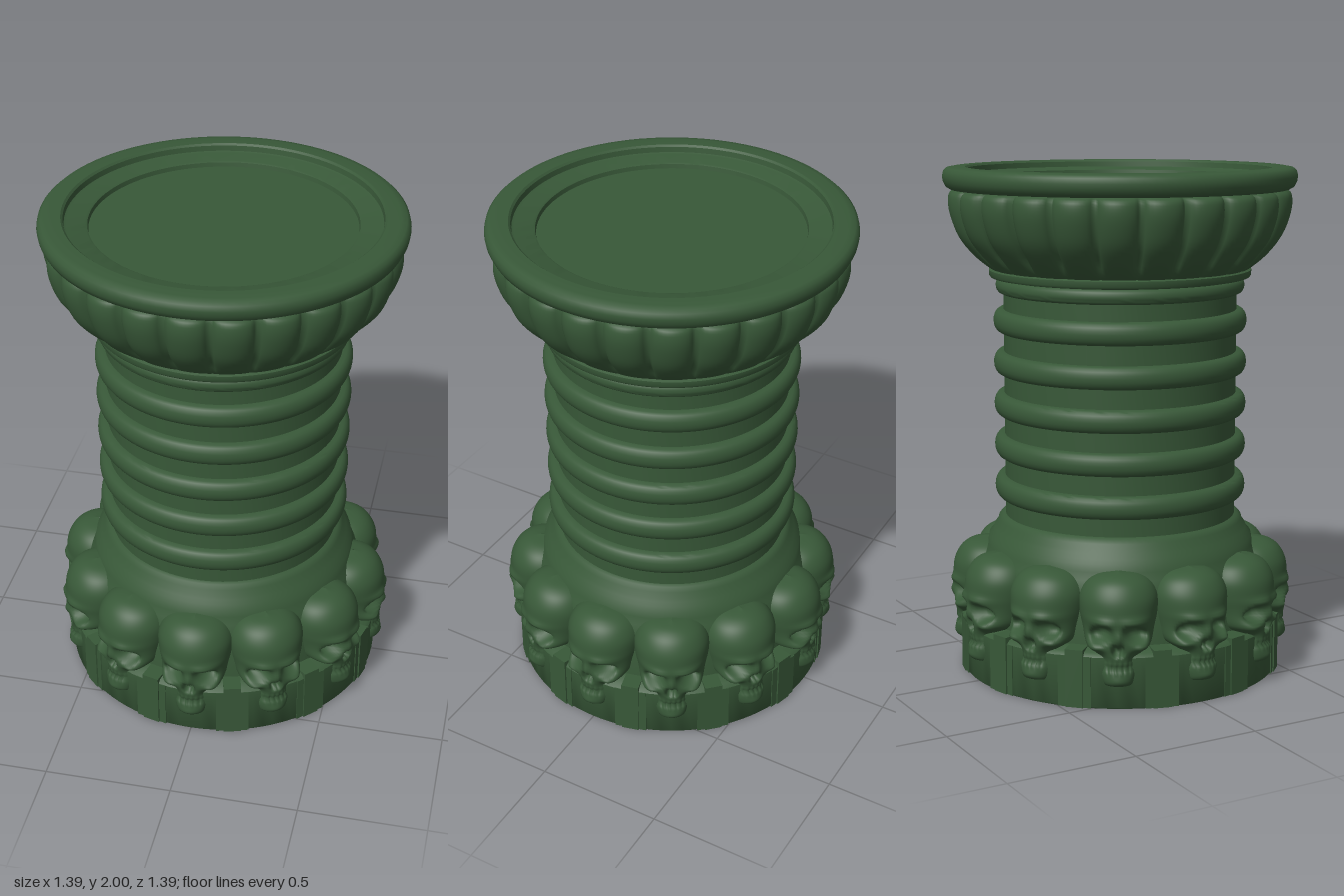
import * as THREE from 'three';
import { mergeVertices, toCreasedNormals } from 'three/addons/utils/BufferGeometryUtils.js';

const green = new THREE.MeshStandardMaterial({ color: 0x385838 });
green.name = 'darkGreen';

const SKULLS = 12, FLUTES = 24;

function mesh(name, geometry) {
  const m = new THREE.Mesh(geometry, green);
  m.name = name;
  return m;
}

const toPoints = (list) => list.map(([r, y]) => new THREE.Vector2(r, y));

function turned(name, list) {
  return mesh(name, toCreasedNormals(new THREE.LatheGeometry(toPoints(list), 96), 0.7));
}

// Rounded band bulging out from radius r
function band(y, r, out, half) {
  const pts = [];
  for (let i = 0; i <= 10; i++) {
    const a = -Math.PI / 2 + (Math.PI * i) / 10;
    pts.push([r + out * Math.pow(Math.max(Math.cos(a), 0), 0.7), y + half * Math.sin(a)]);
  }
  return pts;
}

// Bowl of the capital: a lathe whose radius is scalloped into convex flutes
function flutedBowl() {
  const curve = new THREE.SplineCurve(toPoints([
    [0.49, 1.595], [0.525, 1.615], [0.585, 1.665], [0.64, 1.735],
    [0.67, 1.815], [0.676, 1.875], [0.66, 1.908], [0.6, 1.925],
  ]));
  let geo = new THREE.LatheGeometry(curve.getPoints(28), FLUTES * 12);
  geo.deleteAttribute('uv');
  geo.deleteAttribute('normal');
  geo = mergeVertices(geo, 1e-5);
  const p = geo.attributes.position;
  for (let i = 0; i < p.count; i++) {
    const x = p.getX(i), y = p.getY(i), z = p.getZ(i);
    const turn = (Math.atan2(x, z) / (2 * Math.PI)) * FLUTES;
    const t = 2 * Math.abs(turn - Math.round(turn));
    const fade = THREE.MathUtils.smoothstep(y, 1.59, 1.68);
    const k = 1 - (0.055 * fade * (1 - Math.sqrt(Math.max(0, 1 - t * t * 0.98)))) / Math.hypot(x, z);
    p.setXYZ(i, x * k, y, z * k);
  }
  geo.computeVertexNormals();
  return mesh('flutedBowl', geo);
}

// Soft-edged spot in the face plane, 1 at the centre and 0 outside
function spot(x, y, cx, cy, sx, sy, power = 1) {
  const d = ((x - cx) / sx) ** 2 + ((y - cy) / sy) ** 2;
  return Math.exp(-Math.pow(d, power));
}

// Relief of the face, mirrored in x
function faceRelief(x, y) {
  const ax = Math.abs(x);
  let h = 0;
  h -= 0.05 * spot(ax, y - (0.066 - ax) * 0.2, 0.066, 0.295, 0.038, 0.029, 2); // eye sockets
  h += 0.014 * spot(ax, y, 0.06, 0.342, 0.05, 0.016);                         // brows
  h += 0.018 * spot(ax, y, 0.1, 0.245, 0.035, 0.018);                         // cheekbones
  h += 0.012 * spot(ax, y, 0, 0.285, 0.014, 0.025);                           // nose bridge
  h -= 0.035 * spot(ax, y, 0.009, 0.234, 0.012, 0.022, 2);                    // nose opening
  h -= 0.018 * spot(ax, y, 0.066, 0.198, 0.022, 0.026);                       // cheek hollows
  h -= 0.010 * spot(0, y, 0, 0.163, 1, 0.005);                                // mouth line
  h -= 0.006 * spot(0, y, 0, 0.168, 1, 0.022, 2) * Math.pow(Math.cos((x * Math.PI) / 0.02), 6); // teeth
  h += 0.006 * spot(ax, y, 0, 0.115, 0.035, 0.016);                           // chin
  return h;
}

// Skull lofted from half-width / height / depth sections; its open back is buried in the drum
function skullGeometry() {
  const sections = new THREE.CatmullRomCurve3([
    [0.045, 0.088, 0.09], [0.06, 0.098, 0.135], [0.068, 0.13, 0.143], [0.072, 0.19, 0.138],
    [0.09, 0.218, 0.142], [0.122, 0.245, 0.145], [0.136, 0.3, 0.149], [0.148, 0.36, 0.15],
    [0.148, 0.42, 0.143], [0.124, 0.468, 0.118], [0.08, 0.497, 0.08], [0.001, 0.511, 0.02],
  ].map((s) => new THREE.Vector3(...s)));
  const rows = 60, cols = 44, pos = [], index = [];
  for (let j = 0; j <= rows; j++) {
    const s = sections.getPoint(j / rows);
    const power = THREE.MathUtils.lerp(0.35, 1, THREE.MathUtils.smoothstep(s.y, 0.2, 0.34));
    for (let i = 0; i <= cols; i++) {
      const a = Math.PI * (i / cols - 0.5);
      const x = s.x * Math.sin(a), c = Math.max(Math.cos(a), 0);
      const relief = faceRelief(x, s.y) * Math.min(1, c * 2.5);
      pos.push(x, s.y, 0.53 + s.z * Math.pow(c, power) + relief);
      if (i < cols && j < rows) {
        const k = j * (cols + 1) + i, n = k + cols + 1;
        index.push(k, k + 1, n, k + 1, n + 1, n);
      }
    }
  }
  const geo = new THREE.BufferGeometry();
  geo.setAttribute('position', new THREE.Float32BufferAttribute(pos, 3));
  geo.setIndex(index);
  geo.computeVertexNormals();
  return geo;
}

export function createModel() {
  const model = new THREE.Group();
  model.name = 'pedestal';

  // Foot drum with the stepped collar above it
  model.add(turned('baseDrum', [
    [0, 0], [0.638, 0], [0.643, 0.006], [0.643, 0.2], [0.63, 0.215], [0.575, 0.225],
    [0.565, 0.42], [0.55, 0.47], [0.535, 0.5], [0.53, 0.53], [0.515, 0.545], [0.508, 0.565],
    [0.497, 0.575], [0.49, 0.6], [0.475, 0.615], [0.462, 0.62],
  ]));

  // Ringed shaft
  const shaft = [[0.462, 0.61]];
  for (let i = 0; i < 5; i++) shaft.push(...band(0.735 + i * 0.166, 0.462, 0.04, 0.045));
  shaft.push([0.462, 1.508], ...band(1.538, 0.462, 0.03, 0.03), [0.49, 1.568], [0.512, 1.572],
    [0.518, 1.58], [0.518, 1.6], [0.49, 1.612]);
  model.add(turned('ringedShaft', shaft));

  model.add(flutedBowl());

  // Rim and the stepped dish on top
  model.add(turned('rimAndDish', [
    [0.59, 1.915], [0.665, 1.915], [0.682, 1.925], [0.692, 1.945], [0.695, 1.965], [0.69, 1.985],
    [0.678, 1.996], [0.655, 2], [0.605, 2], [0.597, 1.993], [0.594, 1.972], [0.585, 1.968],
    [0.515, 1.966], [0.507, 1.962], [0.504, 1.945], [0, 1.945],
  ]));

  // Ring of skulls with a stepped pair of blocks between neighbours
  const skull = skullGeometry();
  const wide = new THREE.BoxGeometry(0.13, 0.2, 0.08);
  const narrow = new THREE.BoxGeometry(0.07, 0.226, 0.08);
  for (let i = 0; i < SKULLS; i++) {
    const bay = new THREE.Group();
    bay.name = 'skullBay';
    bay.rotation.y = (i * 2 * Math.PI) / SKULLS;
    bay.add(mesh('skull', skull));
    const blocks = new THREE.Group();
    blocks.name = 'blocks';
    blocks.rotation.y = Math.PI / SKULLS;
    const a = mesh('wideBlock', wide), b = mesh('narrowBlock', narrow);
    a.position.set(0, 0.101, 0.603);
    b.position.set(0, 0.114, 0.609);
    blocks.add(a, b);
    bay.add(blocks);
    model.add(bay);
  }
  return model;
}
